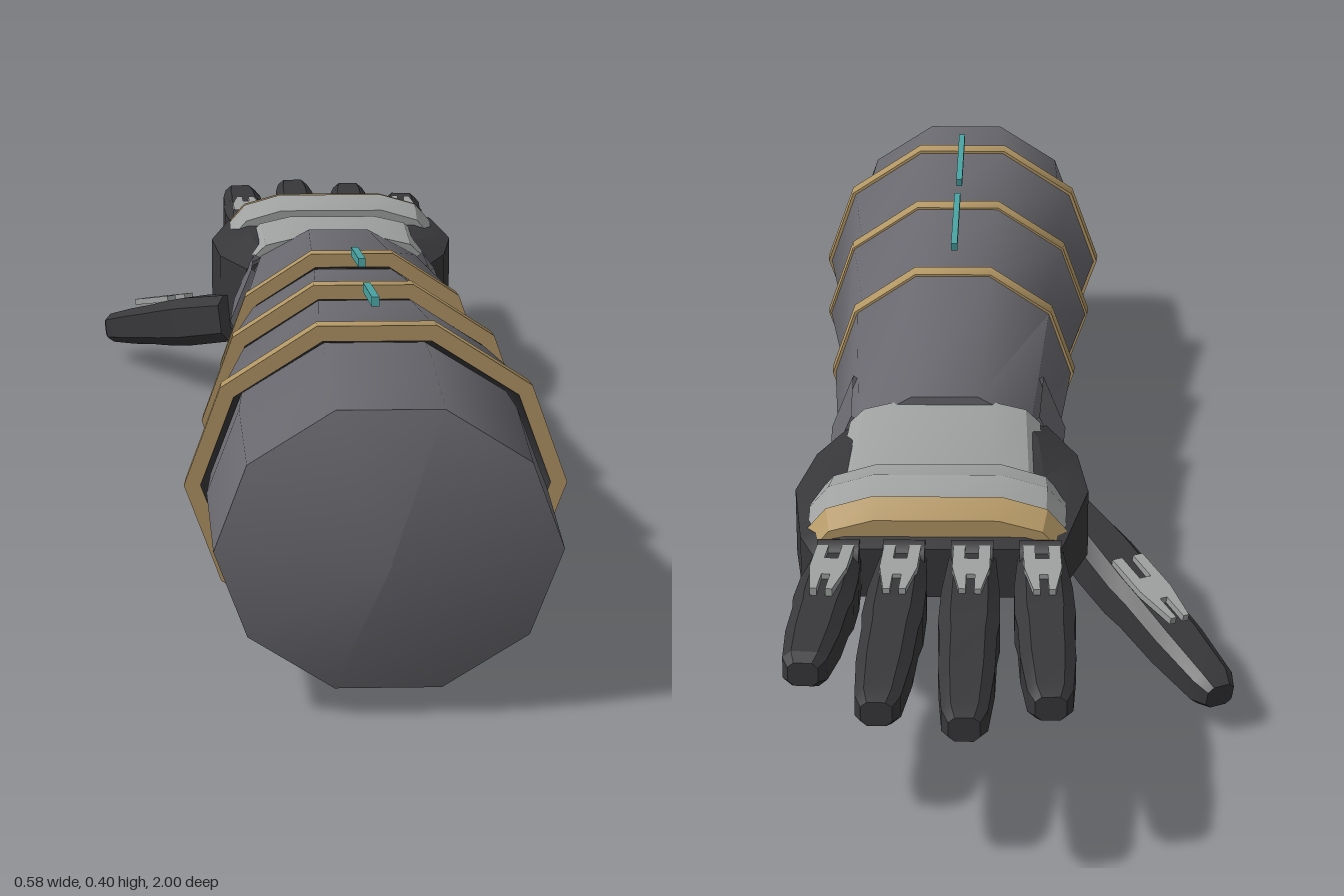
import * as THREE from 'three';
import { toCreasedNormals } from 'three/addons/utils/BufferGeometryUtils.js';

const mat = (name, color, side = THREE.FrontSide) =>
  Object.assign(new THREE.MeshStandardMaterial({ color, side }), { name });

// Skin a list of cross-sections (arrays of [x, y, z], counter-clockwise seen from +z, low z first)
function loft(rings, { crease = 0.7, caps = true, closed = true } = {}) {
  const n = rings[0].length, pos = rings.flat(2), idx = [];
  for (let i = 0; i + 1 < rings.length; i++) {
    for (let j = 0; j < (closed ? n : n - 1); j++) {
      const k = (j + 1) % n, a = i * n + j, b = i * n + k;
      idx.push(a, b, b + n, a, b + n, a + n);
    }
  }
  if (caps) {
    const last = (rings.length - 1) * n;
    for (let j = 1; j + 1 < n; j++) idx.push(0, j + 1, j, last, last + j, last + j + 1);
  }
  const g = new THREE.BufferGeometry();
  g.setAttribute('position', new THREE.Float32BufferAttribute(pos, 3));
  g.setIndex(idx);
  return toCreasedNormals(g, crease);
}

// Ten-sided oval around the arm axis, optionally only an arc of it
const AX = 0.07, AY = 0.186;
const oval = ([z, rx, ry], from = 0, steps = 10) =>
  Array.from({ length: steps }, (_, j) => {
    const a = ((from + j) * Math.PI) / 5;
    return [AX + rx * Math.cos(a), AY + ry * Math.sin(a), z];
  });

// Box section with cut corners
function chamfered(z, cx, hw, top, bottom, c = 0.3) {
  const cy = (top + bottom) / 2, hh = (top - bottom) / 2, k = 1 - c;
  return [[1, -k], [1, k], [k, 1], [-k, 1], [-1, k], [-1, -k], [-k, -1], [k, -1]]
    .map(([u, v]) => [cx + u * hw, cy + v * hh, z]);
}

// Arched section for the plates on the back of the hand
const arch = ([z, hw, top, drop]) =>
  [[1, 1], [0.85, 0.4], [0.5, 0.05], [-0.5, 0.05], [-0.85, 0.4], [-1, 1]]
    .map(([u, v]) => [AX + u * hw, top - v * drop, z]);

export function createModel() {
  const model = new THREE.Group();
  model.name = 'armouredForearm';
  const shell = mat('shellGrey', 0x69686e, THREE.DoubleSide);
  const gold = mat('gold', 0xb39765);
  const dark = mat('darkGlove', 0x38383b);
  const plate = mat('plateGrey', 0x9fa2a1);
  const teal = mat('teal', 0x4aa3a3);

  const add = (name, geometry, material, parent = model) => {
    const m = new THREE.Mesh(geometry, material);
    m.name = name;
    parent.add(m);
    return m;
  };

  // Upper arm stump with shallow cone end, and the dark core inside the sleeves
  add('upperArm', loft([[0.6, 0.185, 0.16], [0.74, 0.194, 0.166], [0.95, 0.187, 0.163], [0.995, 0.002, 0.002]]
    .map((r) => oval(r))), shell);
  add('core', loft([[-0.2, 0.12, 0.09], [0.18, 0.158, 0.135], [0.46, 0.178, 0.157], [0.66, 0.18, 0.158]]
    .map((r) => oval(r))), dark);

  // Three overlapping tapered sleeves, each with a gold rim and dark lining
  const sleeves = [
    { back: [0.46, 0.183, 0.165], rim: [0.68, 0.213, 0.190], front: [0.71, 0.22, 0.196] },
    { back: [0.19, 0.163, 0.142], rim: [0.41, 0.195, 0.175], front: [0.44, 0.2, 0.18] },
    { back: [-0.23, 0.14, 0.105], rim: [0.14, 0.17, 0.154], front: [0.17, 0.176, 0.159] },
  ];
  sleeves.forEach(({ back, rim, front }) => {
    const [z, rx, ry] = front, lip = [z, rx - 0.019, ry - 0.019];
    const inner = [z - 0.05, rx - 0.032, ry - 0.034];
    add('sleeve', loft([[back[0], back[1] - 0.02, back[2] - 0.02], back, rim].map((r) => oval(r)), { caps: false }), shell);
    add('sleeveRim', loft([rim, [rim[0], rx - 0.002, ry - 0.002], front, lip].map((r) => oval(r)), { caps: false }), gold);
    add('sleeveLining', loft([lip, inner].map((r) => oval(r)), { caps: false }), dark);
  });

  // Wrist guard wrapping the sides and underside
  add('wristGuard', loft([[-0.215, 0.135, 0.1], [-0.215, 0.153, 0.114], [-0.08, 0.16, 0.128], [-0.08, 0.142, 0.11]]
    .map((r) => oval(r, 4, 8)), { crease: 0.4, caps: false, closed: false }), shell);

  // Thin light strips floating over the two upper sleeves
  for (const [z, y] of [[0.59, 0.381], [0.31, 0.364]]) {
    const strip = add('lightStrip', new THREE.BoxGeometry(0.009, 0.011, 0.18), teal);
    strip.position.set(AX, y, z);
    strip.rotation.x = -0.135;
  }

  // Palm
  add('palm', loft([
    [-0.605, 0.07, 0.145, 0.232, 0.17], [-0.57, 0.073, 0.16, 0.245, 0.16],
    [-0.42, 0.068, 0.183, 0.25, 0.128], [-0.3, 0.065, 0.168, 0.255, 0.105],
    [-0.2, 0.065, 0.13, 0.255, 0.115],
  ].map((s) => chamfered(...s)), { crease: 0.35 }), dark);

  // Back-of-hand plates
  add('handPlate', loft([[-0.42, 0.13, 0.268, 0.03], [-0.22, 0.125, 0.277, 0.03]].map(arch), { crease: 0.35 }), plate);
  add('knucklePlate', loft([[-0.55, 0.155, 0.276, 0.045], [-0.5, 0.157, 0.287, 0.045], [-0.435, 0.155, 0.275, 0.045]]
    .map(arch), { crease: 0.35 }), plate);
  add('knuckleTrim', loft([[-0.585, 0.15, 0.262, 0.04], [-0.55, 0.157, 0.279, 0.045]].map(arch), { crease: 0.35 }), gold);

  // H-shaped metal link laid on each finger
  const link = new THREE.Shape([[-22, 0], [-8, 0], [-8, 45], [8, 45], [8, 0], [22, 0], [22, 70], [13, 130],
    [5, 130], [5, 90], [-5, 90], [-5, 130], [-13, 130], [-22, 70]]
    .map(([x, y]) => new THREE.Vector2(x / 1000, y / 1000)));
  const linkGeometry = new THREE.ExtrudeGeometry(link, { depth: 0.009, bevelEnabled: false });
  linkGeometry.rotateX(Math.PI / 2);

  // Fingers run along local +z, then turn to face their tip
  function digit(name, base, tip, size, linkStart) {
    const g = new THREE.Group();
    const from = new THREE.Vector3(...base), to = new THREE.Vector3(...tip);
    const L = from.distanceTo(to);
    g.name = name;
    add('fingerBody', loft([[0, 0.026, 0.032], [0.3, 0.034, 0.034], [0.48, 0.035, 0.031], [0.56, 0.032, 0.029],
      [0.75, 0.031, 0.026], [0.95, 0.025, 0.021], [1, 0.017, 0.014]]
      .map(([t, w, h]) => chamfered(t * L, 0, w * size, h * size, -h * size, 0.4)), { crease: 0.35 }), dark, g);
    add('fingerLink', linkGeometry, plate, g).position.set(0, 0.039 * size, linkStart);
    g.position.copy(from);
    g.lookAt(to);
    model.add(g);
  }
  const fingers = [[-0.055, -0.066, -0.95], [0.026, 0.026, -1], [0.107, 0.121, -0.965], [0.185, 0.207, -0.87]];
  fingers.forEach(([x0, x1, z]) => {
    digit('finger', [x0, 0.2, -0.57], [x1, 0.196, z], 1, 0.03);
    // Small knuckle hinge at the finger root
    const hinge = add('knuckleHinge', new THREE.CylinderGeometry(0.024, 0.024, 0.05, 8), dark);
    hinge.rotation.z = Math.PI / 2;
    hinge.position.set(x0, 0.218, -0.6);
  });
  digit('thumb', [-0.08, 0.145, -0.27], [-0.272, 0.046, -0.615], 1.08, 0.17);

  return model;
}
